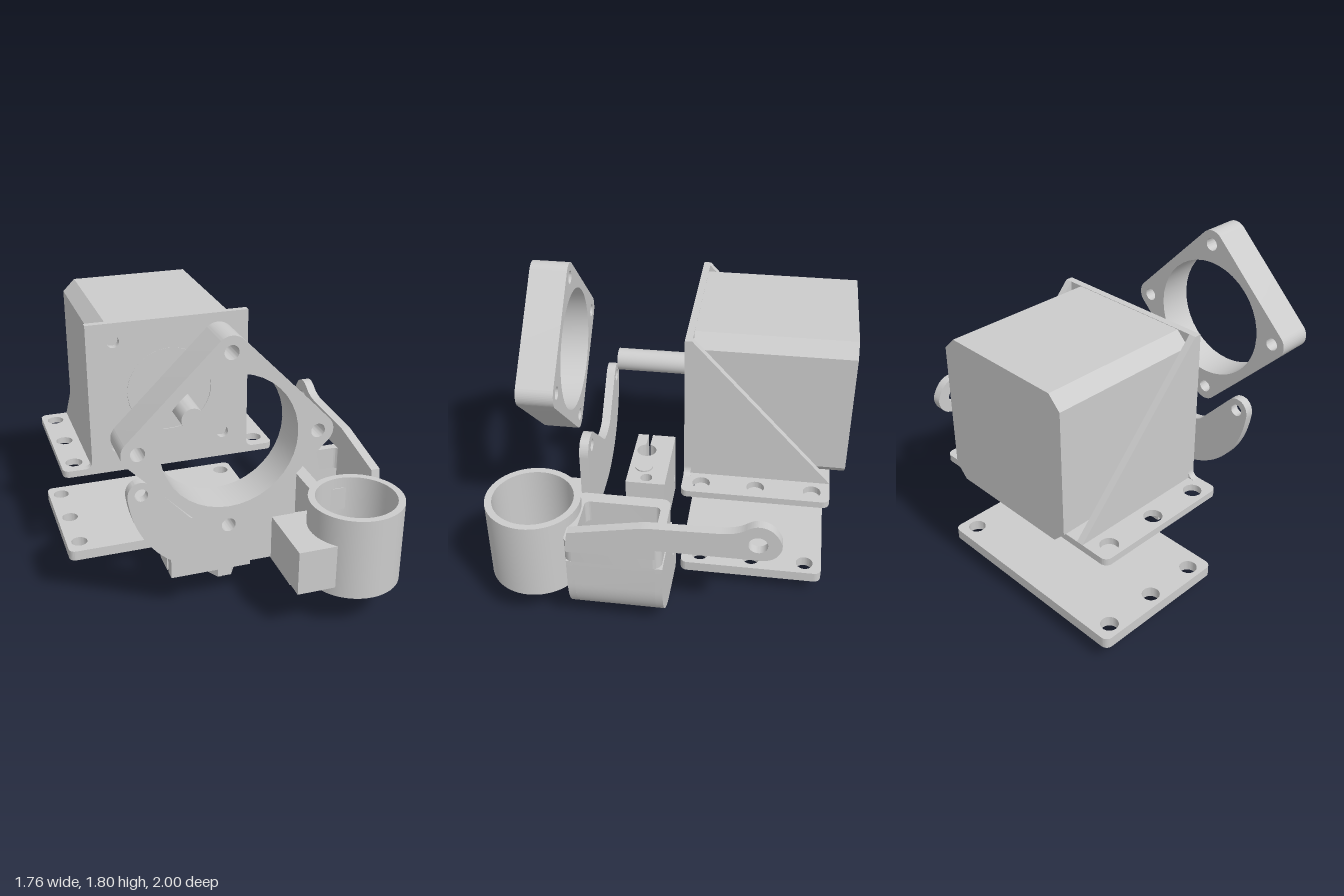
import * as THREE from 'three';
import { toCreasedNormals } from 'three/addons/utils/BufferGeometryUtils.js';

const material = new THREE.MeshStandardMaterial({ color: 0xcccccc, side: THREE.DoubleSide });

function add(parent, name, geometry) {
  const mesh = new THREE.Mesh(toCreasedNormals(geometry, 0.5), material);
  mesh.name = name;
  parent.add(mesh);
  return mesh;
}

function polygon(points) {
  return new THREE.Shape(points.map(([x, y]) => new THREE.Vector2(x, y)));
}

function roundedRect(x0, y0, x1, y1, r) {
  const s = new THREE.Shape();
  s.absarc(x1 - r, y0 + r, r, -Math.PI / 2, 0);
  s.absarc(x1 - r, y1 - r, r, 0, Math.PI / 2);
  s.absarc(x0 + r, y1 - r, r, Math.PI / 2, Math.PI);
  s.absarc(x0 + r, y0 + r, r, Math.PI, Math.PI * 1.5);
  s.closePath();
  return s;
}

function punch(shape, x, y, r) {
  shape.holes.push(new THREE.Path().absarc(x, y, r, 0, Math.PI * 2, true));
}

// Extrusions: along z (shape in x, y), up y (shape in x, -z), along x (shape in -z, y)
function extrude(shape, depth) {
  return new THREE.ExtrudeGeometry(shape, { depth, bevelEnabled: false, curveSegments: 20 });
}
const alongZ = (shape, z0, z1) => extrude(shape, z1 - z0).translate(0, 0, z0);
const alongY = (shape, y0, y1) => extrude(shape, y1 - y0).rotateX(-Math.PI / 2).translate(0, y0, 0);
const alongX = (shape, x0, x1) => extrude(shape, x1 - x0).rotateY(Math.PI / 2).translate(x0, 0, 0);

function rod(r0, r1, h, sides = 40) {
  return new THREE.CylinderGeometry(r0, r1, h, sides);
}

// Flat plate with three screw holes along each short side
function screwPlate() {
  const s = roundedRect(-0.88, 0.08, 0.42, 0.92, 0.04);
  for (const x of [-0.8, 0.335]) for (const z of [0.82, 0.5, 0.19]) punch(s, x, z, 0.05);
  return s;
}

function createMotor() {
  const g = new THREE.Group();
  g.name = 'motor';
  const cx = -0.23, cy = 1.165, h = 0.433, c = 0.36;
  const body = polygon([[-c, -h], [c, -h], [h, -c], [h, c], [c, h], [-c, h], [-h, c], [-h, -c]]);
  add(g, 'motorBody', alongZ(body, -1, -0.12).translate(cx, cy, 0));
  add(g, 'motorBoss', rod(0.252, 0.252, 0.04, 64).rotateX(Math.PI / 2).translate(cx, cy, -0.102));
  add(g, 'motorShaft', rod(0.065, 0.065, 0.46).rotateX(Math.PI / 2).translate(cx, cy, 0.145));
  return g;
}

function createMotorBracket() {
  const g = new THREE.Group();
  g.name = 'motorBracket';
  const face = polygon([[-0.71, 0.68], [0.25, 0.68], [0.25, 1.6], [-0.71, 1.6]]);
  for (const x of [-0.555, 0.095]) for (const y of [0.84, 1.49]) punch(face, x, y, 0.036);
  punch(face, -0.23, 1.165, 0.254);
  add(g, 'bracketFace', alongZ(face, -0.12, -0.08));
  add(g, 'bracketFlange', alongY(screwPlate(), 0.68, 0.72));
  const gusset = polygon([[0.08, 0.72], [0.92, 0.72], [0.12, 1.6], [0.08, 1.6]]);
  const fillet = new THREE.Shape();
  fillet.moveTo(0, 0.72);
  fillet.lineTo(0.045, 0.72);
  fillet.quadraticCurveTo(0, 0.72, 0, 0.765);
  for (const [x, side] of [[-0.71, -1], [0.21, 1]]) {
    add(g, 'bracketGusset', alongX(gusset, x, x + 0.04));
    const f = add(g, 'bracketFillet', alongZ(fillet, -0.12, -0.08));
    f.position.x = side < 0 ? -0.71 : 0.25;
    if (side < 0) {
      f.rotation.y = Math.PI;
      f.position.z = -0.2;
    }
  }
  return g;
}

function createFanFrame() {
  const s = roundedRect(-0.421, -0.421, 0.421, 0.421, 0.085);
  punch(s, 0, 0, 0.365);
  for (const x of [-0.336, 0.336]) for (const y of [-0.336, 0.336]) punch(s, x, y, 0.038);
  return alongZ(s, 0.63, 0.845).rotateZ(Math.PI / 4 - 0.01).translate(-0.18, 1.24, 0);
}

// Crescent-shaped plate carrying the fan by two ears
function createFanHolder() {
  const s = new THREE.Shape();
  s.moveTo(0.43, 0.295);
  s.lineTo(0.33, 0.32);
  s.lineTo(0.33, 0.82);
  s.quadraticCurveTo(0.33, 0.86, 0.31, 0.89);
  s.quadraticCurveTo(0.29, 0.92, 0.25, 0.92);
  s.quadraticCurveTo(0.2, 0.925, 0.17, 0.9);
  s.lineTo(-0.1, 0.65);
  s.quadraticCurveTo(-0.12, 0.625, -0.2, 0.625);
  s.quadraticCurveTo(-0.27, 0.625, -0.3, 0.65);
  s.lineTo(-0.51, 0.88);
  s.quadraticCurveTo(-0.55, 0.92, -0.6, 0.9);
  s.quadraticCurveTo(-0.65, 0.87, -0.64, 0.8);
  s.bezierCurveTo(-0.6, 0.49, -0.38, 0.295, -0.09, 0.295);
  s.closePath();
  punch(s, -0.565, 0.83, 0.037);
  punch(s, 0.22, 0.84, 0.037);
  return alongZ(s, 0.465, 0.518);
}

function createSensorHolder() {
  const g = new THREE.Group();
  g.name = 'ringHolder';
  const profile = [[0.19, 0.24], [0.27, 0.24], [0.27, 0.73], [0.23, 0.73], [0.23, 0.295], [0.19, 0.295], [0.19, 0.24]];
  const ring = new THREE.LatheGeometry(profile.map(([r, y]) => new THREE.Vector2(r, y)), 64);
  add(g, 'holderRing', ring.translate(0.605, 0, 0.73));
  // Block joining the ring to the fan holder, scooped to fit the ring
  const block = new THREE.Shape();
  block.moveTo(0.19, -0.505);
  block.lineTo(0.19, -0.92);
  block.lineTo(0.415, -0.92);
  block.absarc(0.605, -0.73, 0.265, Math.PI * 1.25, Math.PI * 0.7, true);
  block.closePath();
  add(g, 'holderBlock', alongY(block, 0.295, 0.56));
  return g;
}

// Elbow duct: curved outer and inner walls between two full cheeks
function createDuct() {
  const g = new THREE.Group();
  g.name = 'coolingDuct';
  const outerWall = (s, d) => {
    s.lineTo(0.33 - d * 0.25, 0.048 + d);
    s.lineTo(0.6, 0.07 + d);
    s.bezierCurveTo(0.76 - d, 0.085 + d, 0.875 - d, 0.19 + d, 0.875 - d, 0.36);
    s.lineTo(0.875 - d, 0.53);
  };
  const innerWall = (s, d) => {
    s.lineTo(0.48 + d, 0.53);
    s.lineTo(0.48 + d, 0.34);
    s.quadraticCurveTo(0.48 + d, 0.235 - d, 0.4, 0.21 - d);
    s.lineTo(0.303 + d * 0.25, 0.18 - d);
  };
  const cheek = new THREE.Shape();
  cheek.moveTo(0.303, 0.18);
  outerWall(cheek, 0);
  innerWall(cheek, 0);
  for (const z of [-0.042, 0.45]) add(g, 'ductCheek', alongZ(cheek, z, z + 0.042));
  const band = (wall) => {
    const a = new THREE.Shape(), b = new THREE.Shape();
    const start = wall === outerWall ? [0.33, 0.048] : [0.48, 0.53];
    a.moveTo(...start);
    wall(a, 0);
    b.moveTo(...start);
    wall(b, 0.04);
    return new THREE.Shape([...a.getPoints(16), ...b.getPoints(16).slice(1).reverse()]);
  };
  add(g, 'ductOuterWall', alongZ(band(outerWall), 0, 0.45));
  add(g, 'ductInnerWall', alongZ(band(innerWall), 0, 0.45));

  const collar = roundedRect(0.445, -0.505, 0.875, 0.035, 0.05);
  collar.holes.push(roundedRect(0.52, -0.45, 0.825, -0.015, 0.03));
  add(g, 'ductCollar', alongY(collar, 0.525, 0.665));

  // Mounting arm reaching back to a screw eye
  const arm = new THREE.Shape();
  arm.moveTo(-0.495, 0.6);
  arm.lineTo(0, 0.6);
  arm.lineTo(0, 0.665);
  arm.lineTo(0.56, 0.665);
  arm.quadraticCurveTo(0.62, 0.665, 0.65, 0.7);
  arm.quadraticCurveTo(0.69, 0.755, 0.67, 0.8);
  arm.quadraticCurveTo(0.63, 0.895, 0.55, 0.895);
  arm.quadraticCurveTo(0.52, 0.895, 0.48, 0.865);
  arm.quadraticCurveTo(0.43, 0.83, 0.34, 0.828);
  arm.lineTo(0.06, 0.82);
  arm.quadraticCurveTo(-0.03, 0.82, -0.07, 0.815);
  arm.lineTo(-0.475, 0.735);
  arm.closePath();
  punch(arm, 0.55, 0.77, 0.052);
  add(g, 'ductArm', alongX(arm, 0.823, 0.877));
  return g;
}

function createHotEnd() {
  const g = new THREE.Group();
  g.name = 'hotEnd';
  // Heater block with a clamp slit opening into the cartridge bore
  const block = new THREE.Shape();
  block.moveTo(-0.345, -0.29);
  block.lineTo(0.15, -0.29);
  block.lineTo(0.15, -0.05);
  block.lineTo(-0.345, -0.05);
  block.lineTo(-0.345, -0.197);
  block.lineTo(-0.235, -0.197);
  block.absarc(-0.18, -0.21, 0.06, Math.PI - 0.22, -Math.PI + 0.22, true);
  block.lineTo(-0.345, -0.223);
  block.closePath();
  punch(block, 0.095, -0.17, 0.036);
  add(g, 'heaterBlock', alongY(block, 0.11, 0.53));
  for (const z of [0.05, 0.29]) add(g, 'clampScrew', rod(0.027, 0.027, 0.006, 24).rotateX(Math.PI / 2).translate(-0.29, 0.225, z));
  const tube = [[0.018, 0.53], [0.055, 0.53], [0.055, 0.54], [0.018, 0.54]].map(([r, y]) => new THREE.Vector2(r, y));
  add(g, 'filamentInlet', new THREE.LatheGeometry(tube, 32).translate(-0.01, 0, 0.2));
  add(g, 'nozzleHex', rod(0.085, 0.085, 0.062, 6).rotateY(Math.PI / 6).translate(-0.008, 0.08, 0.2));
  add(g, 'nozzleTip', rod(0.042, 0.01, 0.05, 32).translate(-0.008, 0.025, 0.2));
  return g;
}

export function createModel() {
  const model = new THREE.Group();
  model.name = 'extruderAssembly';
  model.add(createMotor(), createMotorBracket(), createSensorHolder(), createDuct(), createHotEnd());
  add(model, 'basePlate', alongY(screwPlate(), 0.107, 0.17));
  add(model, 'fanFrame', createFanFrame());
  add(model, 'fanHolder', createFanHolder());
  return model;
}
